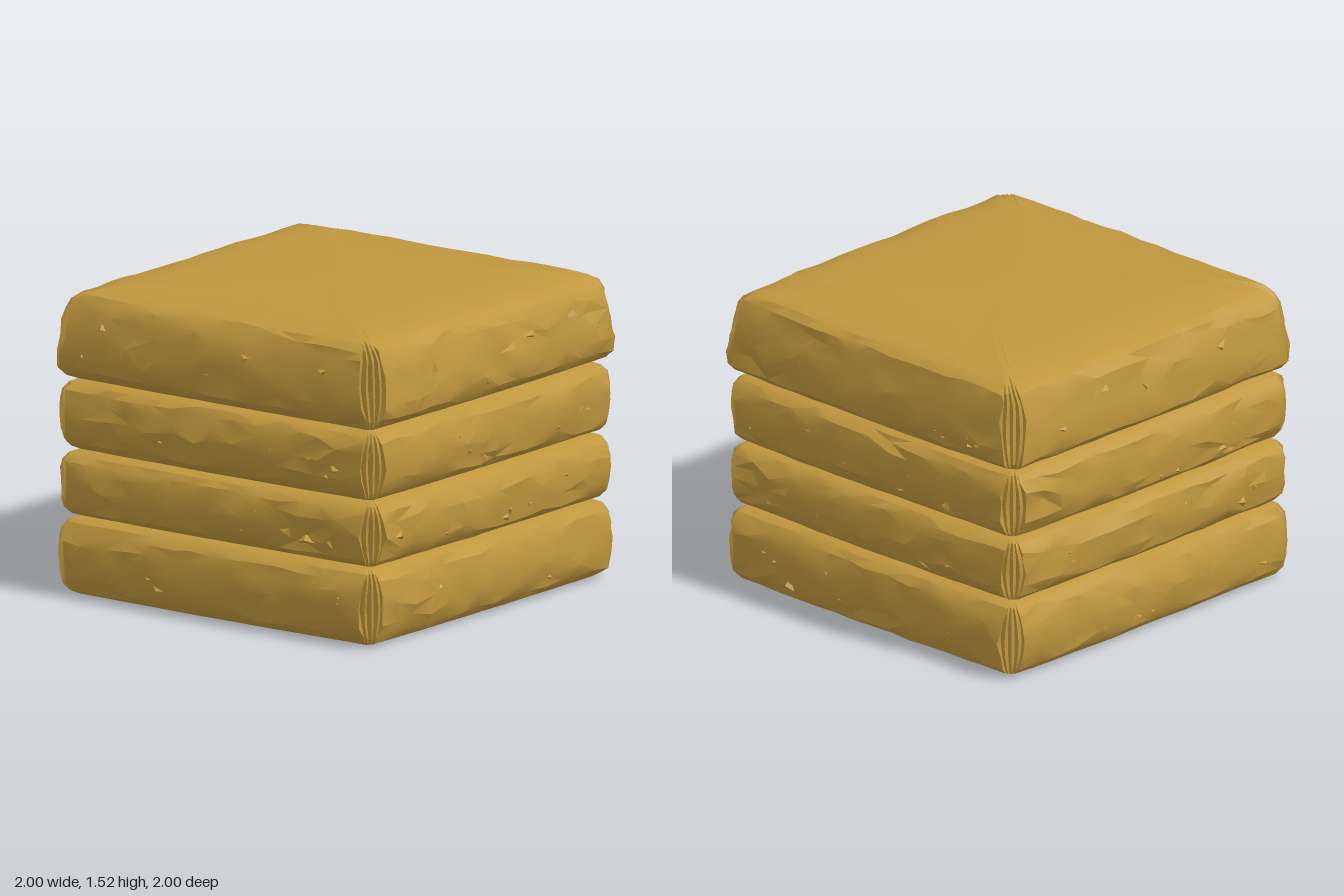
import * as THREE from 'three';
import { toCreasedNormals } from 'three/addons/utils/BufferGeometryUtils.js';

// Small seeded generator for the crumpled wrapping
function makeRandom(seed) {
  let s = seed;
  return () => {
    s = (s * 16807) % 2147483647;
    return s / 2147483647;
  };
}

// Profiles: [height fraction, inset from the widest outline]
const PILLOW = [
  [0, 0.13], [0.015, 0.09], [0.06, 0.055], [0.15, 0.025], [0.3, 0.008], [0.5, 0],
  [0.7, 0.006], [0.85, 0.022], [0.94, 0.05], [0.985, 0.09], [1, 0.14],
];
const TOP_PILLOW = [
  [0, 0.14], [0.015, 0.09], [0.06, 0.045], [0.14, 0.012], [0.28, 0], [0.45, 0.008],
  [0.6, 0.018], [0.75, 0.035], [0.85, 0.065], [0.91, 0.11], [0.95, 0.2], [0.98, 0.36], [1, 0.6],
];

const LAYERS = [
  { name: 'bottomBundle', y0: 0.005, y1: 0.39, x: 0.985, z: 0.975, profile: PILLOW },
  { name: 'lowerMiddleBundle', y0: 0.388, y1: 0.715, x: 0.975, z: 0.975, profile: PILLOW },
  { name: 'upperMiddleBundle', y0: 0.713, y1: 1.065, x: 0.975, z: 0.975, profile: PILLOW },
  { name: 'topBundle', y0: 1.06, y1: 1.525, x: 0.985, z: 0.985, profile: TOP_PILLOW },
];

const SIDE = 15;   // points along each side
const PLEATS = 7;  // points across each folded corner

function bundleGeometry({ y0, y1, x, z, profile }, random) {
  const pos = [], index = [];
  const ring = 4 * (SIDE + PLEATS);
  const jitter = (a) => (random() - 0.5) * 2 * a;

  profile.forEach(([t, inset], level) => {
    const lens = Math.sin(Math.PI * t);
    const wrinkle = 0.011 * Math.min(1, lens * 2);
    const upper = t > 0.8 && profile === TOP_PILLOW;
    const hx = x - inset * (upper ? 0.8 : 1);
    const hz = z - inset;
    const chamfer = 0.03 + 0.065 * lens;
    for (let k = 0; k < 4; k++) {
      const c = Math.round(Math.cos(k * Math.PI / 2));
      const s = Math.round(Math.sin(k * Math.PI / 2));
      const depth = k % 2 ? hz : hx;
      const half = (k % 2 ? hx : hz) - chamfer;
      const put = (out, along, y) => pos.push(c * out - s * along, y, s * out + c * along);

      // Softly bulging wall with irregular creases
      for (let i = 0; i < SIDE; i++) {
        const u = i / (SIDE - 1) * 2 - 1;
        const inner = i > 0 && i < SIDE - 1;
        const dent = inner && random() < 0.06 ? -0.018 * lens : 0;
        const bulge = 0.012 * (1 - u * u) - 0.006;
        const out = depth + bulge + jitter(wrinkle) + dent;
        const along = u * half + (inner ? jitter(0.035 * lens) : 0);
        const wave = jitter(0.018 * lens);
        put(out, along, y0 + (y1 - y0) * t + (level ? wave : 0));
      }
      // Folded corner: a chamfer of narrow vertical pleats
      for (let i = 0; i < PLEATS; i++) {
        const v = (i + 1) / (PLEATS + 1);
        const fold = (i % 2 ? 0.004 : -0.03) * lens + jitter(0.006 * lens);
        put(depth - chamfer * v + fold, half + chamfer * v + fold,
          y0 + (y1 - y0) * t + jitter(0.012 * lens));
      }
    }
  });

  // Walls between successive rings
  for (let j = 0; j < profile.length - 1; j++) {
    for (let i = 0; i < ring; i++) {
      const a = j * ring + i, b = j * ring + (i + 1) % ring;
      const d = a + ring, e = b + ring;
      if (random() < 0.5) index.push(a, d, b, b, d, e);
      else index.push(a, d, e, a, e, b);
    }
  }
  // Flat underside and top
  const last = (profile.length - 1) * ring;
  const low = pos.length / 3;
  pos.push(0, y0, 0, 0, y1 + 0.003, 0);
  for (let i = 0; i < ring; i++) {
    const n = (i + 1) % ring;
    index.push(low, i, n, low + 1, last + n, last + i);
  }

  const geometry = new THREE.BufferGeometry();
  geometry.setAttribute('position', new THREE.Float32BufferAttribute(pos, 3));
  geometry.setIndex(index);
  return toCreasedNormals(geometry, 0.5);
}

// Shallow pinched folds scattered over the four walls
function addCreases(bundle, layer, material, random) {
  for (let k = 0; k < 4; k++) {
    const side = new THREE.Group();
    side.name = 'wallCreases';
    side.rotation.y = k * Math.PI / 2;
    for (let i = 0; i < 6; i++) {
      const crease = new THREE.Mesh(new THREE.ConeGeometry(0.04, 0.028, 3), material);
      crease.geometry.rotateZ(random() * 0.5 - 0.25);
      crease.geometry.rotateY(random() * 6.28);
      crease.geometry.rotateX(Math.PI / 2);
      crease.geometry = toCreasedNormals(crease.geometry, 0.3);
      crease.name = 'crease';
      crease.scale.set(0.7 + random() * 1.1, 0.5 + random() * 0.6, 1);
      const t = 0.2 + random() * 0.45;
      crease.position.set((random() * 2 - 1) * 0.78, layer.y0 + (layer.y1 - layer.y0) * t,
        (k % 2 ? layer.x : layer.z) - 0.008);
      side.add(crease);
    }
    bundle.add(side);
  }
}

export function createModel() {
  const wrapping = new THREE.MeshStandardMaterial({ color: 0xbf963d });
  wrapping.name = 'ochre wrapping';
  const model = new THREE.Group();
  model.name = 'stackedBundles';

  LAYERS.forEach((layer, i) => {
    const random = makeRandom(1237 + i * 7919);
    const bundle = new THREE.Group();
    bundle.name = layer.name;
    const body = new THREE.Mesh(bundleGeometry(layer, random), wrapping);
    body.name = 'wrappedBody';
    bundle.add(body);
    addCreases(bundle, layer, wrapping, random);
    model.add(bundle);
  });
  return model;
}
